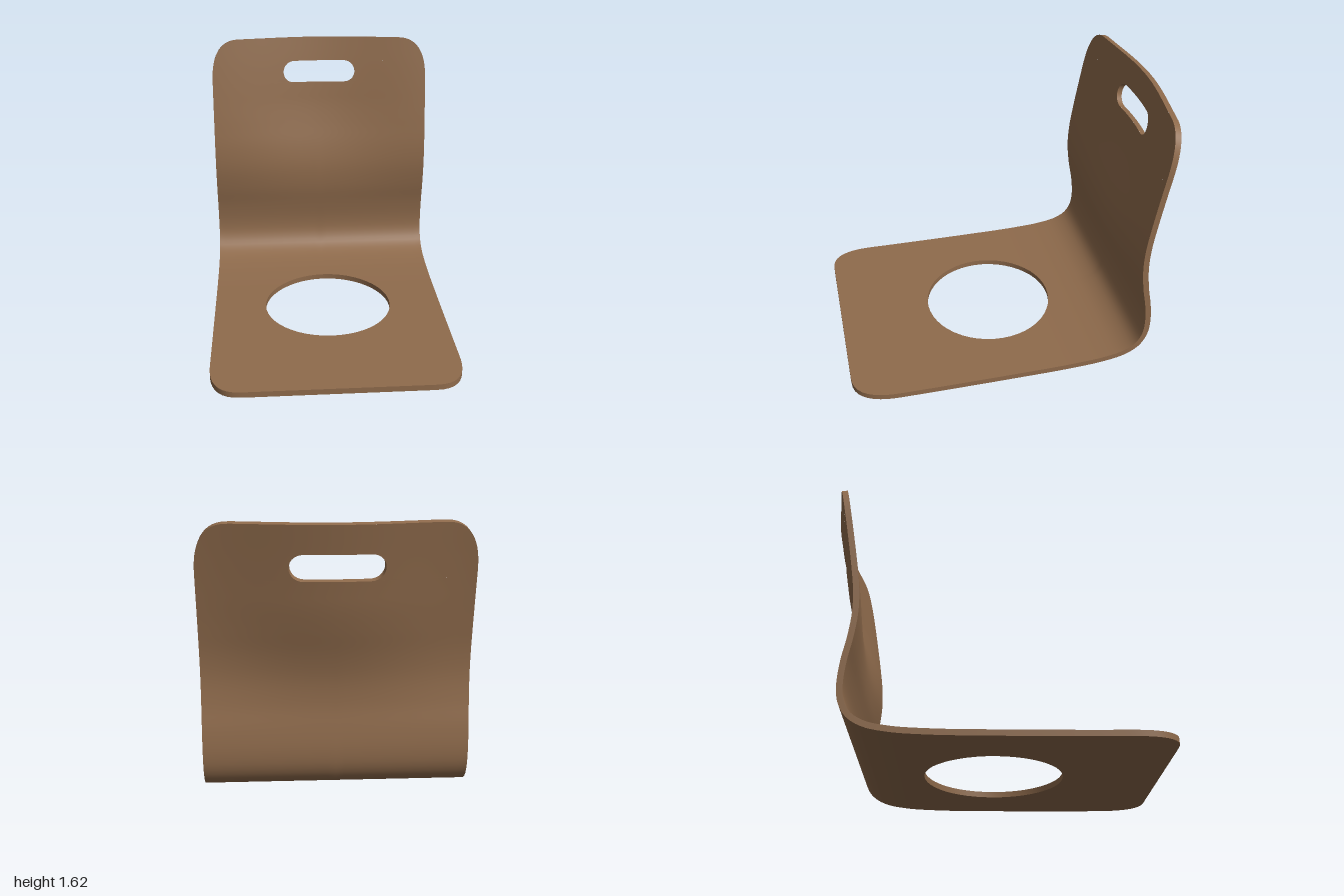
import * as THREE from 'three';
import { toCreasedNormals } from 'three/addons/utils/BufferGeometryUtils.js';

const THICK = 0.035, HALF_W = 0.745, COLS = 16;

// Side profile of the bent sheet at its edges, from seat front to backrest top: [z, y]
const profile = new THREE.CatmullRomCurve3([
  [1, 0.028], [0.5, 0.022], [0, 0.02], [-0.35, 0.023], [-0.57, 0.037], [-0.7, 0.065],
  [-0.78, 0.115], [-0.822, 0.19], [-0.834, 0.28], [-0.823, 0.42], [-0.795, 0.57],
  [-0.778, 0.72], [-0.781, 0.86], [-0.801, 1.02], [-0.833, 1.22], [-0.868, 1.42], [-0.905, 1.617],
].map(([z, y]) => new THREE.Vector3(0, y, z)));
profile.arcLengthDivisions = 1500;
const LENGTH = profile.getLength();

// Arc length where the profile first satisfies a test
function lengthWhere(test) {
  for (let i = 0; i <= 3000; i++) if (test(profile.getPointAt(i / 3000))) return i / 3000 * LENGTH;
  return LENGTH;
}

// Middle surface: the backrest bows backward towards its centre
function middle(x, s) {
  const p = profile.getPointAt(THREE.MathUtils.clamp(s / LENGTH, 0, 1));
  const bow = 0.08 * THREE.MathUtils.smoothstep(p.y, 0.4, 1.2);
  return new THREE.Vector3(x, p.y, p.z - bow * (0.5 + 0.5 * Math.cos(Math.PI * x / 0.82)));
}

// Point on the upper (side = 1) or lower (side = -1) face
function point(x, s, side) {
  const e = 0.004;
  const dx = middle(x + e, s).sub(middle(x - e, s));
  const ds = middle(x, Math.min(s + e, LENGTH)).sub(middle(x, Math.max(s - e, 0)));
  return middle(x, s).addScaledVector(dx.cross(ds).normalize(), side * THICK / 2);
}

// Half width of the sheet, with soft corners at both ends
function halfWidth(s) {
  const u = Math.max(0, 1 - Math.min(s, LENGTH - s) / 0.3);
  return HALF_W - 0.2 * (1 - Math.pow(Math.max(0, 1 - Math.pow(u, 2.6)), 1 / 2.6));
}

// Rows across the sheet: s along it, h = half opening, w = half width
function makeRows() {
  const rows = [];
  const span = (s0, s1, n, opening = () => 0) => {
    for (let i = 0; i <= n; i++) {
      const t = i / n, s = s0 + (s1 - s0) * (1 - Math.cos(Math.PI * t)) / 2;
      rows.push({ s, h: opening(t), w: halfWidth(s) });
    }
  };
  const circle = [lengthWhere(p => p.z <= 0.419), lengthWhere(p => p.z <= -0.405)];
  const slot = [lengthWhere(p => p.y >= 1.305), lengthWhere(p => p.y >= 1.455)];
  const flat = 0.177, radius = 0.075, steps = 8;

  for (let i = 0; i < steps; i++) rows.push({ s: 0, h: 0, w: halfWidth(0) * i / steps });
  span(0, circle[0], 20);
  span(...circle, 24, t => 0.412 * Math.sin(Math.PI * t));
  span(circle[1], slot[0], 70);
  for (let i = 1; i < steps; i++) rows.push({ s: slot[0], h: flat * i / steps, w: halfWidth(slot[0]) });
  span(...slot, 14, t => flat + radius * Math.sin(Math.PI * t));
  for (let i = steps - 1; i > 0; i--) rows.push({ s: slot[1], h: flat * i / steps, w: halfWidth(slot[1]) });
  span(slot[1], LENGTH, 18);
  for (let i = steps - 1; i >= 0; i--) rows.push({ s: LENGTH, h: 0, w: halfWidth(LENGTH) * i / steps });
  return rows;
}

function makeSheet() {
  const positions = [];
  const tri = (a, b, c) => {
    const area = b.clone().sub(a).cross(c.clone().sub(a)).length();
    if (area < 1e-9) return;
    for (const p of [a, b, c]) positions.push(p.x, p.y, p.z);
    for (const p of [c, b, a]) positions.push(-p.x, p.y, p.z); // mirrored half
  };
  const quad = (a, b, c, d) => { tri(a, b, c); tri(a, c, d); };

  const rows = makeRows().map(({ s, h, w }) => {
    const xs = Array.from({ length: COLS + 1 }, (_, k) => h + (w - h) * k / COLS);
    return { s, h, top: xs.map(x => point(x, s, 1)), low: xs.map(x => point(x, s, -1)) };
  });
  for (let i = 0; i + 1 < rows.length; i++) {
    const a = rows[i], b = rows[i + 1];
    // Upper and lower faces
    if (b.s - a.s > 1e-7) for (let k = 0; k < COLS; k++) {
      quad(a.top[k], a.top[k + 1], b.top[k + 1], b.top[k]);
      quad(a.low[k], b.low[k], b.low[k + 1], a.low[k + 1]);
    }
    // Outer rim, then the rims of the openings
    quad(a.low[COLS], b.low[COLS], b.top[COLS], a.top[COLS]);
    if (a.h + b.h > 1e-6) quad(a.low[0], a.top[0], b.top[0], b.low[0]);
  }
  const geometry = new THREE.BufferGeometry();
  geometry.setAttribute('position', new THREE.Float32BufferAttribute(positions, 3));
  return toCreasedNormals(geometry, 0.6);
}

export function createModel() {
  const wood = new THREE.MeshStandardMaterial({ color: 0x8f6b4c });
  wood.name = 'brown wood';
  const shell = new THREE.Mesh(makeSheet(), wood);
  shell.name = 'seatAndBackrest';
  const group = new THREE.Group();
  group.name = 'floorChair';
  group.add(shell);
  return group;
}
